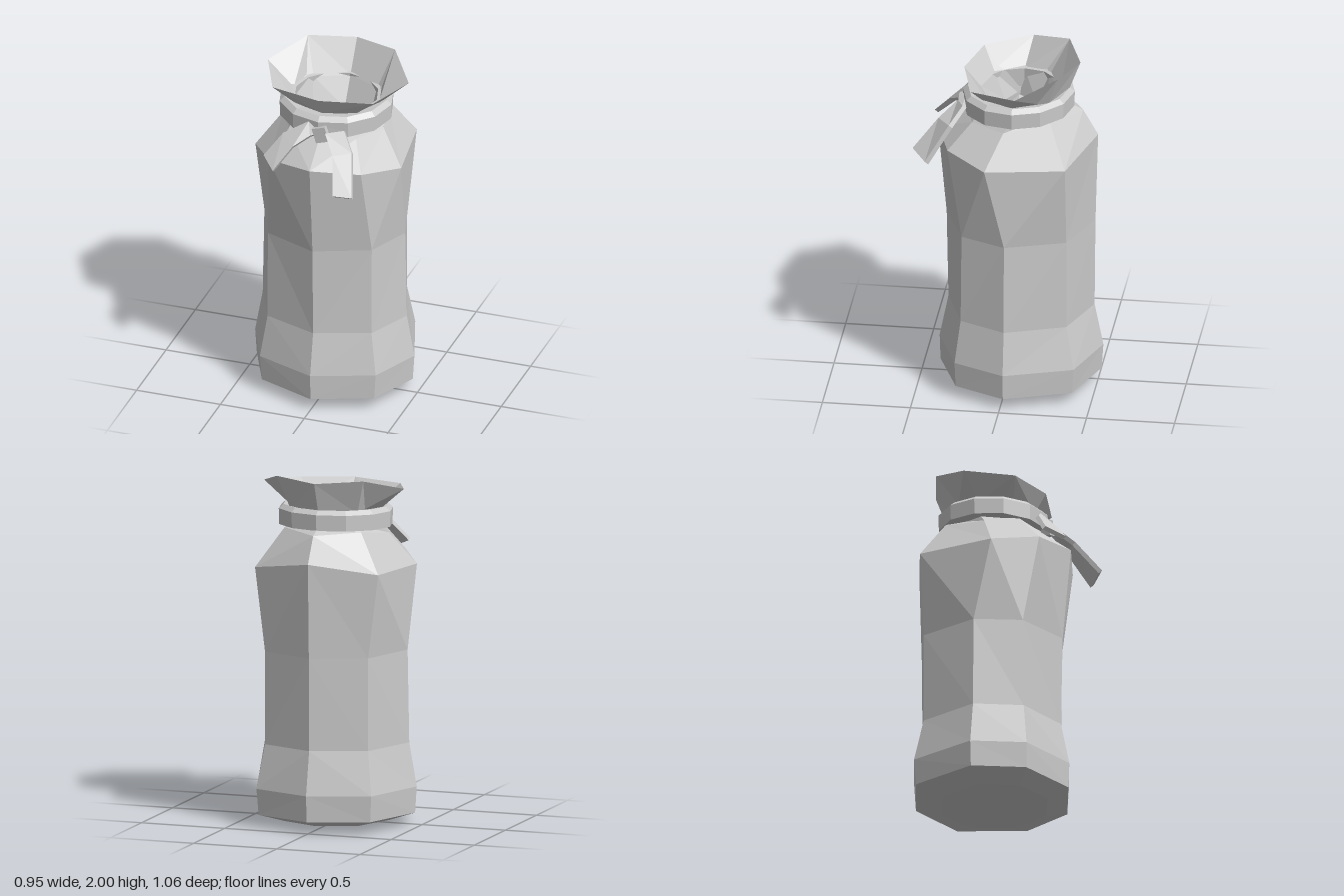
import * as THREE from 'three';

const V = (p) => new THREE.Vector3(...p);

// Skins a stack of closed rings (listed bottom to top, counter-clockwise from above)
function loft(rings) {
  const out = [];
  const tri = (a, b, c) => {
    const n = V(b).sub(V(a)).cross(V(c).sub(V(a)));
    if (n.length() > 1e-7) out.push(...a, ...b, ...c);
  };
  for (let r = 0; r + 1 < rings.length; r++) {
    const lo = rings[r], hi = rings[r + 1], n = lo.length;
    for (let i = 0; i < n; i++) {
      const j = (i + 1) % n;
      const a = lo[i], b = lo[j], c = hi[j], d = hi[i];
      // diagonals mirror across the middle
      if (i < n / 2) { tri(a, b, c); tri(a, c, d); }
      else { tri(a, b, d); tri(b, c, d); }
    }
  }
  const g = new THREE.BufferGeometry();
  g.setAttribute('position', new THREE.Float32BufferAttribute(out, 3));
  g.computeVertexNormals();
  return g;
}

// Eight-sided ring from five points (front, front corner, side, back corner, back)
const ring = (half) => [...half, ...half.slice(1, 4).reverse().map(([x, y, z]) => [-x, y, z])];

// Same, for a level ring
const level = (y, front, fx, fz, sx, sz, bx, bz, back) =>
  ring([[0, y, front], [fx, y, fz], [sx, y, sz], [bx, y, bz], [0, y, back]]);

// Thin ribbon along pairs of edge points
function ribbon(pairs) {
  const back = ([x, y, z]) => [x, y - 0.015, z - 0.02];
  const sections = pairs.map(([l, r]) => [l, r, back(r), back(l)]);
  const middle = (s) => {
    const c = [0, 1, 2].map((k) => s.reduce((t, p) => t + p[k], 0) / 4);
    return s.map(() => c);
  };
  return loft([middle(sections[0]), ...sections, middle(sections.at(-1))]);
}

export function createModel() {
  const group = new THREE.Group();
  const mat = new THREE.MeshStandardMaterial({
    color: 0xcccccc, flatShading: true, side: THREE.DoubleSide, roughness: 0.9,
  });
  const add = (name, geometry) => {
    const mesh = new THREE.Mesh(geometry, mat);
    mesh.name = name;
    group.add(mesh);
    return mesh;
  };

  // Sack: rounded base, straight sides, sloping shoulders, gathered neck
  add('sackBody', loft([
    level(0, 0, 0, 0, 0, 0, 0, 0, 0),
    level(0.022, 0.27, 0.22, 0.18, 0.32, -0.03, 0.22, -0.28, -0.37),
    level(0.07, 0.395, 0.335, 0.265, 0.465, -0.02, 0.335, -0.395, -0.52),
    level(0.22, 0.4, 0.345, 0.27, 0.475, -0.02, 0.345, -0.405, -0.53),
    level(0.47, 0.35, 0.31, 0.24, 0.43, -0.02, 0.31, -0.36, -0.48),
    level(1.0, 0.36, 0.31, 0.235, 0.42, -0.02, 0.31, -0.36, -0.485),
    ring([[0, 1.54, 0.41], [0.275, 1.52, 0.32], [0.435, 1.475, 0.09], [0.37, 1.48, -0.36], [0, 1.54, -0.5]]),
    ring([[0, 1.67, 0.24], [0.2, 1.67, 0.19], [0.3, 1.66, 0], [0.23, 1.7, -0.26], [0, 1.69, -0.415]]),
    level(1.73, 0.2, 0.18, 0.14, 0.27, -0.05, 0.2, -0.24, -0.33),
    level(1.8, 0.19, 0.18, 0.13, 0.255, -0.05, 0.2, -0.24, -0.33),
  ]));

  // Flared mouth, throat and the cloth closing it inside
  add('sackMouth', loft([
    level(1.8, 0.19, 0.18, 0.13, 0.255, -0.05, 0.2, -0.24, -0.33),
    ring([[0, 1.915, 0.26], [0.3, 1.91, 0.185], [0.42, 1.93, -0.08], [0.26, 2, -0.305], [0, 1.985, -0.4]]),
    level(1.8, 0.165, 0.18, 0.11, 0.265, -0.045, 0.19, -0.2, -0.285),
    level(1.64, 0.07, 0.165, 0.05, 0.24, -0.025, 0.17, -0.125, -0.19),
    level(1.68, -0.05, 0.16, -0.03, 0.2, -0.025, 0.16, -0.03, -0.05),
  ]));

  // Tie band, slightly higher at the back
  const band = (r, y) => Array.from({ length: 12 }, (_, i) => {
    const a = (i * Math.PI) / 6;
    const z = -0.05 + Math.cos(a) * (r - 0.01);
    return [Math.sin(a) * r, y - z * 0.03, z];
  });
  add('tieBand', loft([
    band(0.25, 1.69), band(0.325, 1.7), band(0.328, 1.79), band(0.3, 1.815), band(0.24, 1.805), band(0.25, 1.69),
  ]));

  // Knot and the two loose ends of the tie
  const knot = add('tieKnot', new THREE.BoxGeometry(0.08, 0.09, 0.05));
  knot.position.set(0.02, 1.71, 0.26);
  knot.rotation.z = 0.3;
  add('rightTieEnd', ribbon([
    [[-0.01, 1.77, 0.24], [0.0, 1.71, 0.27]],
    [[-0.06, 1.77, 0.25], [-0.04, 1.7, 0.29]],
    [[-0.2, 1.69, 0.29], [-0.12, 1.65, 0.36]],
    [[-0.29, 1.57, 0.365], [-0.205, 1.53, 0.455]],
  ]));
  add('leftTieEnd', ribbon([
    [[0.01, 1.69, 0.26], [0.03, 1.75, 0.25]],
    [[0.05, 1.73, 0.29], [0.15, 1.745, 0.25]],
    [[0.13, 1.65, 0.39], [0.22, 1.65, 0.32]],
    [[0.18, 1.475, 0.53], [0.265, 1.435, 0.45]],
  ]));

  return group;
}
